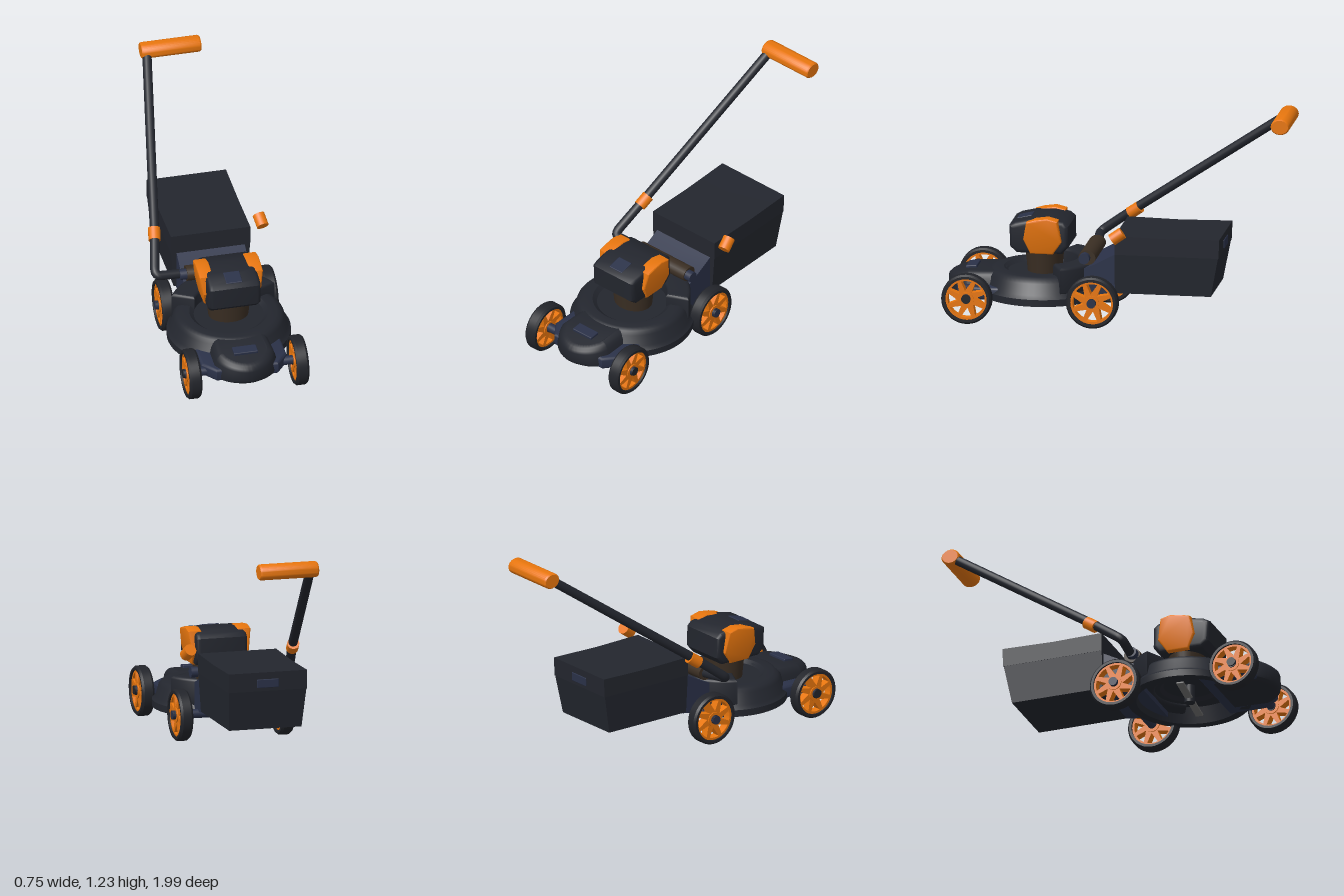
import * as THREE from 'three';
import { toCreasedNormals } from 'three/addons/utils/BufferGeometryUtils.js';
import { RoundedBoxGeometry } from 'three/addons/geometries/RoundedBoxGeometry.js';

const mat = (color) => new THREE.MeshStandardMaterial({ color });
const DARK = mat(0x23262e), TYRE = mat(0x22242a), NAVY = mat(0x2a3148);
const ORANGE = mat(0xe8760e), BROWN = mat(0x3a2e23), STEEL = mat(0x707070);
const V = (x, y, z) => new THREE.Vector3(x, y, z);
const shapeOf = (pts) => new THREE.Shape(pts.map(([x, y]) => new THREE.Vector2(x, y)));

function add(parent, name, geometry, material, x = 0, y = 0, z = 0) {
  const mesh = new THREE.Mesh(geometry, material);
  mesh.name = name;
  mesh.position.set(x, y, z);
  parent.add(mesh);
  return mesh;
}

const bevelled = (depth, bevel) => ({
  depth: depth - 2 * bevel, bevelEnabled: bevel > 0, bevelSize: bevel,
  bevelThickness: bevel, bevelOffset: -bevel, bevelSegments: 3, curveSegments: 24,
});

// Side profile of [z, y] points, extruded across x and centred on it
function sideSlab(pts, width, bevel = 0) {
  const g = new THREE.ExtrudeGeometry(shapeOf(pts), bevelled(width, bevel));
  g.translate(0, 0, bevel - width / 2).rotateY(-Math.PI / 2);
  return toCreasedNormals(g, 0.6);
}

// Plan shape of (x, z), extruded from bottom to top
function planSlab(shape, bottom, top, bevel = 0) {
  const g = new THREE.ExtrudeGeometry(shape, bevelled(top - bottom, bevel));
  g.rotateX(Math.PI / 2).translate(0, top - bevel, 0);
  return toCreasedNormals(g, 0.6);
}

function lathe(pts, segments = 48) {
  const g = new THREE.LatheGeometry(pts.map(([r, y]) => new THREE.Vector2(r, y)), segments);
  return toCreasedNormals(g, 0.6);
}

// Cylinder lying along x
const rod = (r, length, segments = 24) =>
  new THREE.CylinderGeometry(r, r, length, segments).rotateZ(Math.PI / 2);

function makeWheel(name, r) {
  const wheel = new THREE.Group();
  wheel.name = name;
  const i = r * 0.83;
  const tyre = lathe([[i, -0.036], [r - 0.01, -0.036], [r, -0.024], [r, 0.024],
    [r - 0.01, 0.036], [i, 0.036], [i, -0.036]]);
  add(wheel, 'tyre', tyre.rotateZ(Math.PI / 2), TYRE);

  // Spoked rim: a disc with eight wedge openings
  const disc = new THREE.Shape().absarc(0, 0, i + 0.002, 0, Math.PI * 2);
  const a = Math.PI / 4;
  for (let k = 0; k < 8; k++) {
    const m = k * a, hole = new THREE.Path();
    hole.moveTo(0.05 * Math.cos(m - 0.14), 0.05 * Math.sin(m - 0.14));
    hole.absarc(0, 0, i - 0.013, m - 0.29, m + 0.29, false);
    hole.lineTo(0.05 * Math.cos(m + 0.14), 0.05 * Math.sin(m + 0.14));
    hole.closePath();
    disc.holes.push(hole);
  }
  const rim = new THREE.ExtrudeGeometry(disc, { depth: 0.05, bevelEnabled: false, curveSegments: 20 });
  rim.translate(0, 0, -0.025).rotateY(Math.PI / 2);
  add(wheel, 'spokedRim', toCreasedNormals(rim, 0.5), ORANGE);
  add(wheel, 'hubRing', rod(0.043, 0.062), ORANGE);
  add(wheel, 'hub', rod(0.025, 0.074), TYRE);
  return wheel;
}

function makeDeck() {
  const deck = new THREE.Group();
  deck.name = 'deck';
  // Round cutting deck, hollow underneath
  add(deck, 'deckShell', lathe([[0, 0.22], [0.15, 0.22], [0.17, 0.2], [0.2, 0.2], [0.22, 0.22], [0.28, 0.22],
    [0.305, 0.125], [0.355, 0.125], [0.355, 0.165], [0.335, 0.185], [0.318, 0.25], [0.3, 0.27],
    [0.275, 0.28], [0.225, 0.28], [0.2, 0.26], [0, 0.26]], 64), DARK, 0, 0, 0.45);

  // Raised rear shoulder
  const arc = 0.45, shoulder = new THREE.Shape();
  shoulder.absarc(0, 0, 0.335, Math.PI + arc, 2 * Math.PI - arc, false);
  shoulder.absarc(0, 0, 0.2, 2 * Math.PI - arc, Math.PI + arc, true);
  add(deck, 'rearShoulder', planSlab(shoulder, 0.18, 0.343, 0.018), DARK, 0, 0, 0.45);

  // Nose
  const nose = new THREE.Shape();
  nose.moveTo(-0.19, 0.64);
  nose.lineTo(-0.2, 0.86);
  nose.bezierCurveTo(-0.17, 0.95, -0.07, 0.995, 0, 0.995);
  nose.bezierCurveTo(0.07, 0.995, 0.17, 0.95, 0.2, 0.86);
  nose.lineTo(0.19, 0.64);
  const noseGeo = planSlab(nose, 0.12, 0.275, 0.04);
  // Narrow the top and slope it down to the front
  const p = noseGeo.attributes.position;
  for (let k = 0; k < p.count; k++) {
    const t = (p.getY(k) - 0.12) / 0.155;
    p.setX(k, p.getX(k) * (1 - 0.18 * t));
    if (p.getZ(k) > 0.83) p.setY(k, p.getY(k) - t * (p.getZ(k) - 0.83) * 0.22);
  }
  add(deck, 'nose', toCreasedNormals(noseGeo, 0.6), DARK);
  add(deck, 'frontAxleHousing', planSlab(shapeOf([[-0.25, 0.6], [0.25, 0.6], [0.25, 0.83],
    [0.18, 0.92], [-0.18, 0.92], [-0.25, 0.83]]), 0.125, 0.2, 0.015), NAVY);
  add(deck, 'nosePlate', new RoundedBoxGeometry(0.14, 0.02, 0.065, 2, 0.005), NAVY, 0, 0.271, 0.855)
    .rotation.x = 0.1;

  // Discharge chute to the bag
  add(deck, 'rearChute', sideSlab([[-0.01, 0.18], [0.24, 0.15], [0.24, 0.3], [0.13, 0.345], [-0.01, 0.42]], 0.4), NAVY);
  add(deck, 'blade', new RoundedBoxGeometry(0.46, 0.012, 0.045, 1, 0.004), STEEL, 0, 0.14, 0.45)
    .rotation.y = 0.12;
  add(deck, 'bladeShaft', new THREE.CylinderGeometry(0.03, 0.03, 0.11, 20), DARK, 0, 0.17, 0.45);
  return deck;
}

function makeMotor() {
  const motor = new THREE.Group();
  motor.name = 'motor';
  const base = new THREE.CylinderGeometry(0.132, 0.115, 0.16, 32).scale(1, 1, 0.85);
  add(motor, 'motorBase', base, BROWN, 0, 0.33, 0.44);
  add(motor, 'motorCover', sideSlab([[0.58, 0.385], [0.62, 0.42], [0.625, 0.545], [0.59, 0.565], [0.5, 0.585],
    [0.4, 0.592], [0.31, 0.575], [0.282, 0.55], [0.28, 0.43], [0.32, 0.385]], 0.305, 0.025), DARK);
  add(motor, 'motorPlate', new RoundedBoxGeometry(0.095, 0.015, 0.09, 2, 0.005), NAVY, 0, 0.57, 0.55)
    .rotation.x = 0.24;
  for (const s of [-1, 1]) {
    const panel = sideSlab([[0.5, 0.385], [0.54, 0.47], [0.52, 0.575], [0.47, 0.59], [0.4, 0.6],
      [0.34, 0.585], [0.318, 0.46], [0.37, 0.385]], 0.08, 0.01);
    // Lean the panel inward towards its foot
    const p = panel.attributes.position;
    for (let k = 0; k < p.count; k++) {
      const drop = Math.max(0, 0.56 - p.getY(k));
      p.setX(k, p.getX(k) - s * drop * 0.16);
    }
    add(motor, 'sidePanel', toCreasedNormals(panel, 0.5), ORANGE, s * 0.146, 0, 0);
  }
  return motor;
}

function makeBag() {
  const bag = new THREE.Group();
  bag.name = 'grassBag';
  const body = sideSlab([[0, 0.19], [0, 0.425], [-0.6, 0.425], [-0.555, 0.19]], 0.464);
  const p = body.attributes.position;
  for (let k = 0; k < p.count; k++) if (p.getY(k) < 0.3) p.setX(k, p.getX(k) * 0.93);
  add(bag, 'bagBody', toCreasedNormals(body, 0.5), DARK);
  add(bag, 'bagLid', sideSlab([[0, 0.42], [0, 0.53], [-0.3, 0.524], [-0.607, 0.53], [-0.602, 0.42]], 0.466), DARK);
  add(bag, 'bagGrip', new RoundedBoxGeometry(0.13, 0.05, 0.012, 2, 0.004), NAVY, 0, 0.465, -0.604);
  return bag;
}

function makeHandle() {
  const handle = new THREE.Group();
  handle.name = 'handle';
  const knee = V(-0.358, 0.4, 0.18), sleeve = V(-0.312, 0.55, -0.02), top = V(-0.145, 1.178, -0.92);
  // Single bent tube
  const path = new THREE.CurvePath();
  const k1 = knee.clone().add(V(0.035, -0.004, -0.003));
  const k2 = knee.clone().lerp(sleeve, 0.2);
  path.add(new THREE.LineCurve3(V(-0.17, 0.383, 0.165), k1));
  path.add(new THREE.QuadraticBezierCurve3(k1, knee, k2));
  path.add(new THREE.LineCurve3(k2, sleeve));
  path.add(new THREE.LineCurve3(sleeve, top));
  add(handle, 'handleTube', new THREE.TubeGeometry(path, 120, 0.027, 16), DARK);
  add(handle, 'tubeEnd', new THREE.SphereGeometry(0.027, 16, 12), DARK, ...top.toArray());

  // Height clamps, one each side
  const dir = top.clone().sub(sleeve).normalize();
  for (const s of [1, -1]) {
    const clamp = add(handle, 'clamp', new THREE.CylinderGeometry(0.035, 0.035, 0.075, 24), ORANGE,
      sleeve.x * s, 0.546, -0.027);
    clamp.quaternion.setFromUnitVectors(V(0, 1, 0), V(dir.x * s, dir.y, dir.z));
  }
  const grip = lathe([[0, -0.174], [0.04, -0.174], [0.046, -0.165], [0.046, 0.165], [0.04, 0.174], [0, 0.174]], 32);
  add(handle, 'grip', grip.rotateZ(Math.PI / 2).scale(1, 1, 1.18), ORANGE, -0.003, 1.19, -0.945);
  return handle;
}

export function createModel() {
  const model = new THREE.Group();
  model.name = 'lawnMower';
  const body = new THREE.Group();
  body.name = 'body';
  body.position.x = 0.012;
  body.add(makeDeck(), makeMotor(), makeBag());

  // Handle pivot behind the motor
  add(body, 'pivotBarrel', rod(0.043, 0.37).scale(1, 1, 1.15), BROWN, 0, 0.383, 0.167);
  for (const s of [-1, 1]) add(body, 'pivotCap', rod(0.031, 0.05), NAVY, s * 0.2, 0.385, 0.178);

  // Axles and wheels
  for (const [end, z, r, x] of [['front', 0.84, 0.145, 0.314], ['rear', 0.115, 0.15, 0.304]]) {
    add(body, end + 'Axle', rod(0.026, 0.71), NAVY, 0, 0.155, z);
    for (const s of [-1, 1]) {
      const wheel = makeWheel(end + (s > 0 ? 'Left' : 'Right') + 'Wheel', r);
      wheel.position.set(s * x, r + 0.004, z);
      body.add(wheel);
      add(body, 'axleCap', rod(0.026, 0.012), TYRE, s * (x + 0.042), 0.155, z);
    }
  }
  model.add(body, makeHandle());
  return model;
}
